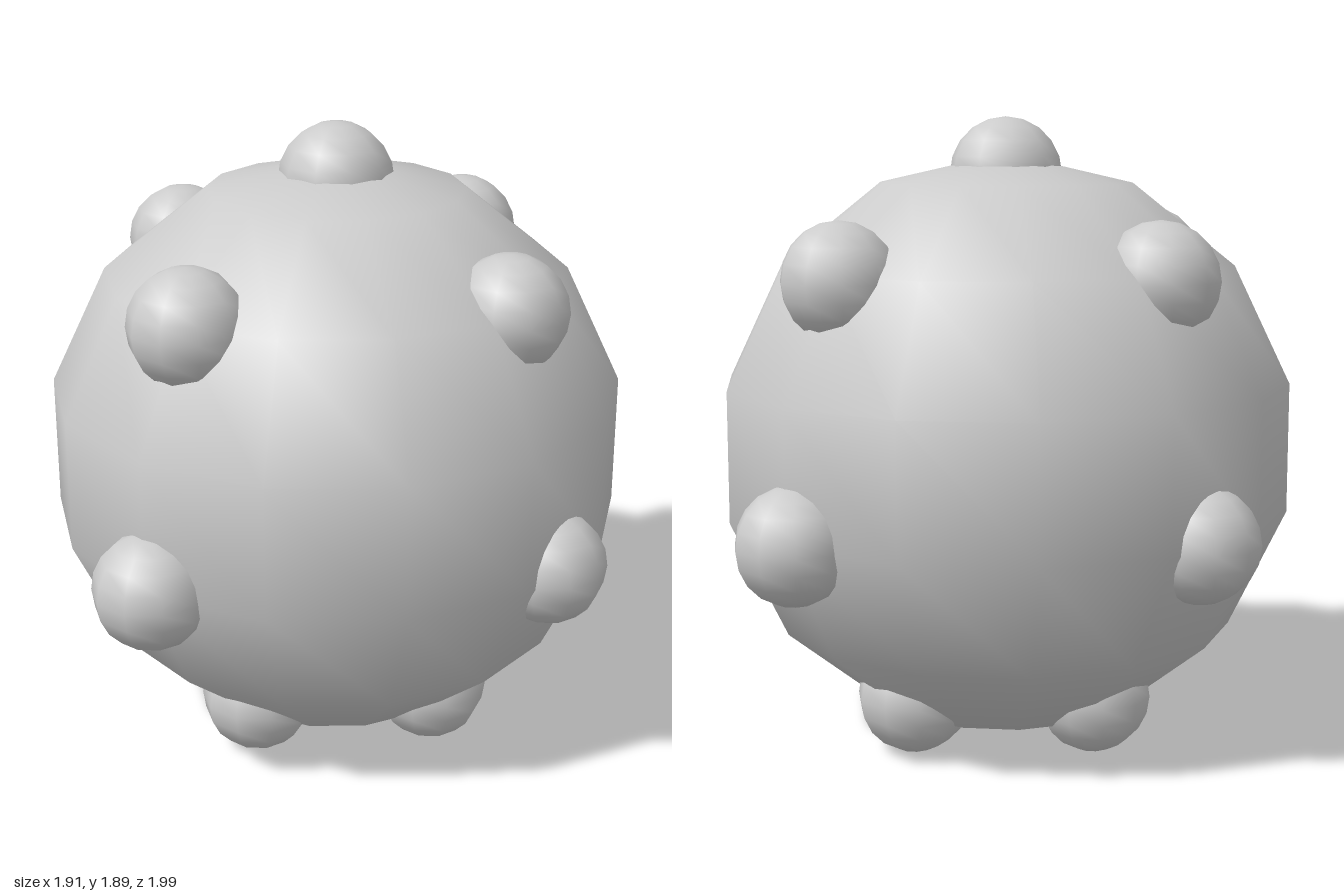
import * as THREE from 'three';

const CENTER_Y = 0.895;
const OFFSET_Z = 0.01;

export function createModel() {
  const group = new THREE.Group();
  group.name = 'studdedBall';
  const material = new THREE.MeshStandardMaterial({ color: 0xcccccc });

  // main ball: 14 sides, turned so a vertex column faces the front
  const bodyGeometry = new THREE.SphereGeometry(0.886, 14, 7);
  bodyGeometry.rotateY(Math.PI / 2);
  const body = new THREE.Mesh(bodyGeometry, material);
  body.name = 'ball';
  body.position.set(0, CENTER_Y, OFFSET_Z);
  group.add(body);

  // round studs sunk into the surface
  const studGeometry = new THREE.SphereGeometry(0.172, 10, 10);
  const addStud = (name, x, y, z) => {
    const stud = new THREE.Mesh(studGeometry, material);
    stud.name = name;
    stud.position.set(x, y, z + OFFSET_Z);
    group.add(stud);
  };

  addStud('topStud', 0, 1.718, 0);

  // three rows of four studs: height, sideways reach, front/back reach
  const rows = [
    ['upper', 1.43, 0.62, 0.655],
    ['middle', 0.7, 0.782, 0.832],
    ['lower', 0.172, 0.373, 0.385],
  ];
  for (const [row, y, rx, rz] of rows) {
    addStud(`${row}StudLeft`, rx, y, 0);
    addStud(`${row}StudRight`, -rx, y, 0);
    addStud(`${row}StudFront`, 0, y, rz);
    addStud(`${row}StudBack`, 0, y, -rz);
  }
  return group;
}
